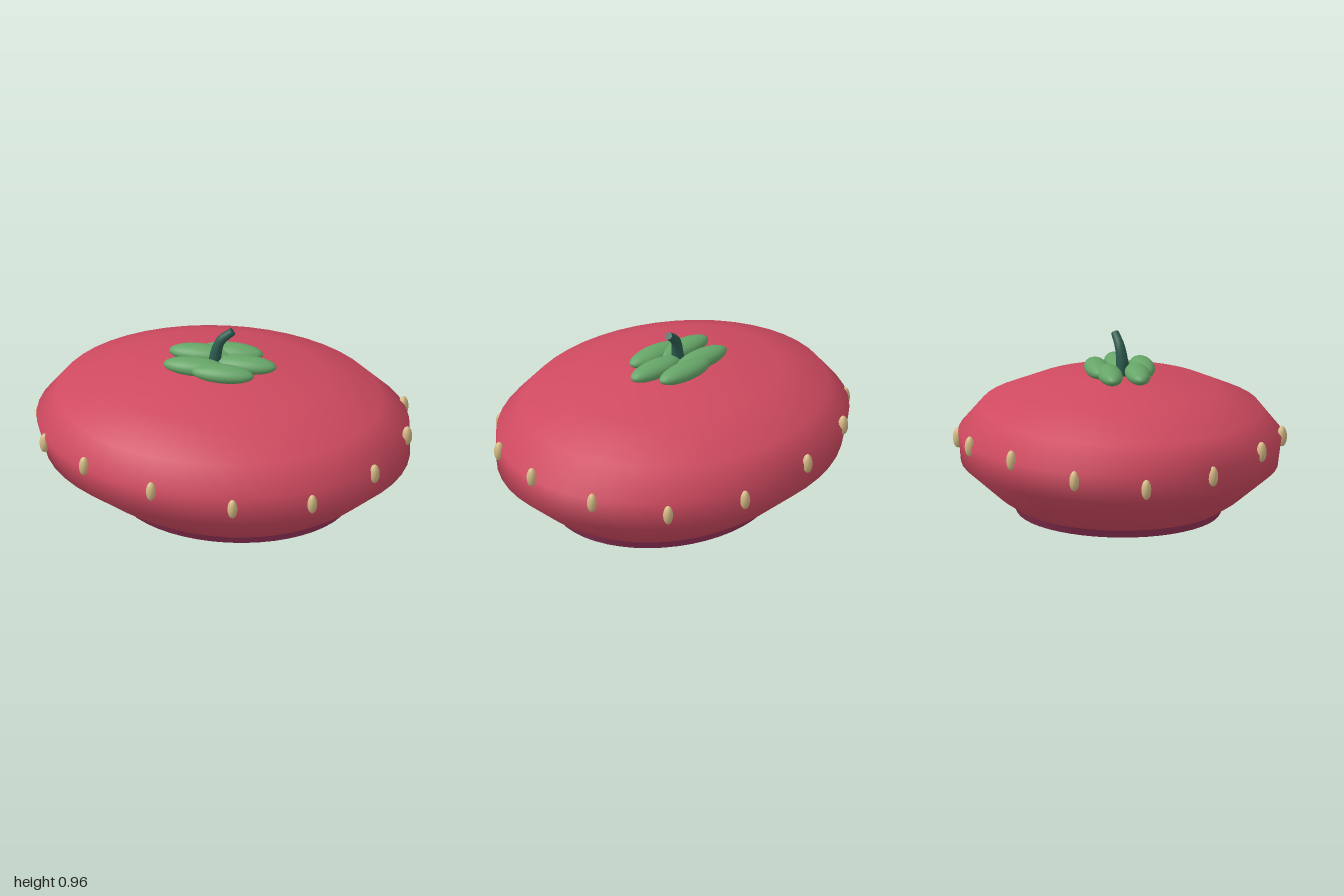
import * as THREE from 'three';

const material = (name, color, side = THREE.FrontSide) => {
  const m = new THREE.MeshStandardMaterial({ color, side });
  m.name = name;
  return m;
};

export function createModel() {
  const group = new THREE.Group();
  const red = material('berry red', 0xcf4a60, THREE.DoubleSide);
  const plum = material('plum band', 0x97345a, THREE.DoubleSide);
  const cream = material('seed cream', 0xd6bb86);
  const green = material('leaf green', 0x66a568);
  const darkGreen = material('stem green', 0x2c5c4e);

  const add = (name, geometry, mat, parent = group) => {
    const mesh = new THREE.Mesh(geometry, mat);
    mesh.name = name;
    parent.add(mesh);
    return mesh;
  };

  // Oval lathe whose centre slides toward -x as it rises
  const slant = new THREE.Matrix4().set(
    1, -0.14, 0, 0.055,
    0, 1, 0, 0,
    0, 0, 0.86, 0,
    0, 0, 0, 1);
  const ovalLathe = (profile) => new THREE.LatheGeometry(
    profile.map(([r, y]) => new THREE.Vector2(r, y)), 48).applyMatrix4(slant);

  // Hollow puffy cap
  add('cap', ovalLathe([
    [0.642, 0.045], [0.735, 0.1], [0.955, 0.27], [0.975, 0.43],
    [0.845, 0.57], [0.57, 0.68], [0.2, 0.735], [0, 0.745],
  ]), red);

  // Head band with a thin lower rim and an inner wall
  add('bandOuter', ovalLathe([[0.615, 0], [0.645, 0.05]]), plum);
  add('bandRim', ovalLathe([[0.596, 0], [0.615, 0]]), plum);
  add('bandInner', ovalLathe([[0.63, 0.05], [0.596, 0]]), plum);

  // Ring of seeds at wavy heights, the same on the front and the back
  const seeds = new THREE.Group();
  seeds.name = 'seeds';
  group.add(seeds);
  const seedGeometry = new THREE.SphereGeometry(1, 16, 12).scale(0.026, 0.054, 0.026);
  const seedHeights = [0.445, 0.41, 0.36, 0.375, 0.43, 0.445, 0.39, 0.355];
  for (let i = 0; i < 14; i++) {
    const a = (i / 14) * Math.PI * 2;
    const y = seedHeights[Math.min(i, 14 - i)];
    const seed = add('seed', seedGeometry, cream, seeds);
    seed.position.set(0.972 * Math.cos(a), y, 0.84 * Math.sin(a));
    seed.rotation.y = -a;
  }

  // Five plump leaves around the stem
  const leaves = new THREE.Group();
  leaves.name = 'leaves';
  group.add(leaves);
  const leafGeometry = new THREE.SphereGeometry(1, 24, 14).scale(0.168, 0.046, 0.064);
  for (let i = 0; i < 5; i++) {
    const a = (i / 5) * Math.PI * 2;
    const leaf = add('leaf', leafGeometry, green, leaves);
    leaf.position.set(-0.027 + 0.138 * Math.cos(a), 0.769, 0.124 * Math.sin(a));
  }

  // Curved stem, narrowing to a cut tip
  const curve = new THREE.CatmullRomCurve3([
    new THREE.Vector3(-0.045, 0.74, 0.005),
    new THREE.Vector3(-0.042, 0.82, 0.005),
    new THREE.Vector3(-0.018, 0.895, -0.005),
    new THREE.Vector3(0.042, 0.948, -0.02),
  ]);
  const rings = 12, sides = 10, baseRadius = 0.036, tipRadius = 0.021;
  const stem = new THREE.TubeGeometry(curve, rings, baseRadius, sides);
  const v = new THREE.Vector3();
  for (let i = 0; i < stem.attributes.position.count; i++) {
    const t = Math.floor(i / (sides + 1)) / rings;
    const centre = curve.getPointAt(t);
    const k = THREE.MathUtils.lerp(1, tipRadius / baseRadius, t);
    v.fromBufferAttribute(stem.attributes.position, i).sub(centre).multiplyScalar(k).add(centre);
    stem.attributes.position.setXYZ(i, v.x, v.y, v.z);
  }
  add('stem', stem, darkGreen);
  const tip = add('stemTip', new THREE.CircleGeometry(tipRadius, sides), darkGreen);
  tip.position.copy(curve.getPointAt(1));
  tip.quaternion.setFromUnitVectors(new THREE.Vector3(0, 0, 1), curve.getTangentAt(1));

  return group;
}
